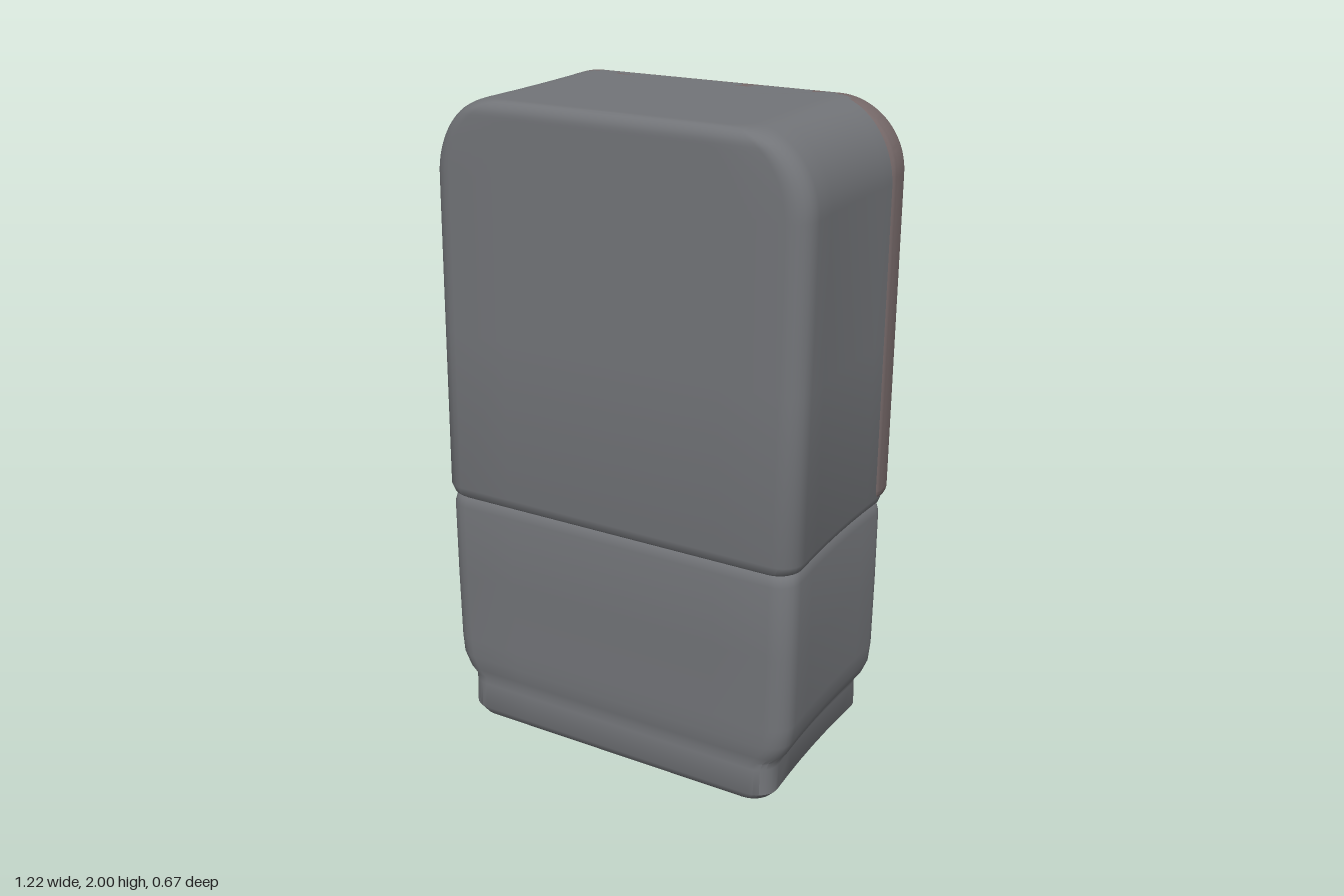
import * as THREE from 'three';
import { toCreasedNormals } from 'three/addons/utils/BufferGeometryUtils.js';
import { RoundedBoxGeometry } from 'three/addons/geometries/RoundedBoxGeometry.js';

const GREY = 0x727478, RIM = 0x756868, NAVY = 0x343b4a, PALE = 0xa9acae;

function mesh(name, geometry, color) {
  const m = new THREE.Mesh(geometry, new THREE.MeshStandardMaterial({ color }));
  m.name = name;
  return m;
}

// Rounded rectangle in x/z with slightly hollow left and right sides
function section({ y, hw, zf, zb, rb }) {
  const rf = 0.07;
  const corners = [[1, zf - rf, rf], [-1, zf - rf, rf], [-1, zb + rb, rb], [1, zb + rb, rb]];
  const pts = [];
  corners.forEach(([sx, cz, r], q) => {
    for (let i = 0; i <= 6; i++) {
      const a = (q + i / 6) * Math.PI / 2;
      pts.push([sx * (hw - r) + r * Math.cos(a), cz + r * Math.sin(a)]);
    }
  });
  const out = [];
  pts.forEach((p, i) => {
    const n = pts[(i + 1) % pts.length];
    const steps = i % 7 === 6 ? 6 : 1;
    for (let k = 0; k < steps; k++) {
      const x = p[0] + (n[0] - p[0]) * k / steps;
      const z = p[1] + (n[1] - p[1]) * k / steps;
      const waist = 1 - 0.02 * Math.max(0, 1 - (z / 0.3) ** 2);
      out.push([x * waist, y, z]);
    }
  });
  return out;
}

// Closed skin through sections listed from bottom to top
function loft(sections) {
  const rings = sections.map(section), n = rings[0].length;
  const pos = rings.flat(2), idx = [];
  for (let k = 0; k < rings.length - 1; k++) {
    for (let i = 0; i < n; i++) {
      const a = k * n + i, b = k * n + (i + 1) % n;
      idx.push(a, a + n, b, b, a + n, b + n);
    }
  }
  const last = (rings.length - 1) * n, c = rings.length * n;
  pos.push(0, sections[0].y, 0, 0, sections.at(-1).y, 0);
  for (let i = 0; i < n; i++) {
    const j = (i + 1) % n;
    idx.push(c, i, j, c + 1, last + j, last + i);
  }
  const g = new THREE.BufferGeometry();
  g.setAttribute('position', new THREE.Float32BufferAttribute(pos, 3));
  g.setIndex(idx);
  return toCreasedNormals(g, 0.7);
}

// Upright outline with large top corners and small bottom corners
function outline(path, hw, y0, y1, rt, rb) {
  path.moveTo(-hw + rb, y0);
  path.lineTo(hw - rb, y0);
  path.absarc(hw - rb, y0 + rb, rb, -Math.PI / 2, 0);
  path.lineTo(hw, y1 - rt);
  path.absarc(hw - rt, y1 - rt, rt, 0, Math.PI / 2);
  path.lineTo(-hw + rt, y1);
  path.absarc(-hw + rt, y1 - rt, rt, Math.PI / 2, Math.PI);
  path.lineTo(-hw, y0 + rb);
  path.absarc(-hw + rb, y0 + rb, rb, Math.PI, Math.PI * 1.5);
  return path;
}

function plate(name, x, y, w, h, z0, z1, color) {
  const d = z1 - z0;
  const m = mesh(name, new RoundedBoxGeometry(w, h, d, 3, Math.min(0.015, d / 2.1)), color);
  m.position.set(x, y, (z0 + z1) / 2);
  return m;
}

function disc(name, x, y, z, r, d, color) {
  const m = mesh(name, new THREE.CylinderGeometry(r * 0.85, r, d, 20), color);
  m.rotation.x = Math.PI / 2;
  m.position.set(x, y, z);
  return m;
}

export function createModel() {
  const group = new THREE.Group();

  // Plinth and lower cabinet
  const low = (y, hw, z) => ({ y, hw, zf: z, zb: -z, rb: 0.07 });
  group.add(mesh('lowerCabinet', loft([
    low(0, 0.48, 0.29), low(0, 0.495, 0.305), low(0.01, 0.525, 0.323), low(0.035, 0.545, 0.335),
    low(0.12, 0.545, 0.331), low(0.14, 0.55, 0.327), low(0.165, 0.57, 0.332),
    low(0.21, 0.588, 0.336), low(0.27, 0.595, 0.334), low(0.5, 0.597, 0.334),
    low(0.735, 0.597, 0.333), low(0.76, 0.592, 0.328), low(0.77, 0.585, 0.32),
  ]), GREY));

  // Upper cabinet, leaning back a little at the front
  const front = y => 0.336 - 0.026 * (y - 0.77) / 1.23;
  const up = (y, hw, inset = 0) => ({ y, hw, zf: front(y) - inset, zb: -0.295, rb: 0.03 });
  const upper = [up(0.765, 0.585, 0.016), up(0.775, 0.597, 0.006), up(0.8, 0.606), up(1.3, 0.606)];
  for (let i = 0; i <= 20; i++) {
    const t = i / 20 * Math.PI / 2;
    const y = 1.77 + 0.23 * Math.sin(t);
    const s = Math.max(0, (y - 1.96) / 0.04);
    const inset = 0.035 * (1 - Math.sqrt(Math.max(0, 1 - s * s)));
    upper.push(up(y, 0.406 + 0.2 * Math.cos(t), inset));
  }
  upper.push(up(2, 0.39, 0.05));
  group.add(mesh('upperCabinet', loft(upper), GREY));

  // Display on the rear face, built facing +z and then turned round
  const display = new THREE.Group();
  display.name = 'rearDisplay';
  display.rotation.y = Math.PI;
  display.position.z = 0.012;
  group.add(display);

  // Soft rim that continues the cabinet walls around the display
  const rimShape = outline(new THREE.Shape(), 0.579, 0.798, 1.97, 0.18, 0.03);
  rimShape.holes.push(outline(new THREE.Path(), 0.572, 0.805, 1.963, 0.173, 0.025));
  const rim = mesh('displayRim', toCreasedNormals(new THREE.ExtrudeGeometry(rimShape, {
    depth: 0.04, bevelSize: 0.03, bevelThickness: 0.03, bevelSegments: 6, curveSegments: 16,
  }), 0.7), RIM);
  rim.position.z = 0.267;
  display.add(rim);

  const back = mesh('displayBacking', new THREE.ExtrudeGeometry(
    outline(new THREE.Shape(), 0.57, 0.8, 1.96, 0.17, 0.03),
    { depth: 0.03, bevelEnabled: false, curveSegments: 16 }), NAVY);
  back.position.z = 0.285;
  display.add(back);

  // Header strip, knob and bottom ledge
  display.add(plate('headerStrip', -0.06, 1.845, 0.64, 0.06, 0.3, 0.324, 0x5d616e));
  display.add(disc('headerKnob', 0.41, 1.845, 0.321, 0.05, 0.022, 0x5a4a3c));
  display.add(disc('knobCentre', 0.41, 1.845, 0.331, 0.025, 0.01, 0x9a7b58));
  display.add(plate('bottomLedge', 0, 0.875, 1.1, 0.15, 0.29, 0.333, 0x3a4548));

  // Pale board with a strip of round buttons
  display.add(plate('board', 0, 1.35, 1.05, 0.78, 0.29, 0.322, PALE));
  display.add(plate('buttonStrip', 0, 1.66, 1.0, 0.13, 0.3, 0.328, 0x7f8f99));
  for (const x of [-0.4, -0.295, -0.185, -0.08, 0.03, 0.25, 0.37])
    display.add(disc('stripButton', x, 1.66, 0.33, 0.026, 0.012, 0x4f6672));

  // Four cards, each a raised tile with a small relief
  const cards = [
    [-0.33, 1.445, 0xa96a5c, 0xb57a6a], [0.0, 1.43, 0x8f9292, 0xb4b5b0],
    [-0.33, 1.14, 0x8b9499, 0x5f7d8a], [0.01, 1.15, 0x959492, 0xb3a896],
  ];
  cards.forEach(([x, y, color, accent], i) => {
    display.add(plate('card', x, y, 0.28, 0.23, 0.3, 0.33, color));
    if (i === 0) display.add(plate('cardFace', x, y + 0.01, 0.22, 0.16, 0.31, 0.335, accent));
    else if (i === 3) display.add(plate('cardFace', x + 0.02, y, 0.17, 0.17, 0.31, 0.336, accent));
    else for (const dx of [-0.045, 0.045])
      display.add(plate('cardBar', x + 0.02 + dx, y, 0.06, 0.17, 0.31, 0.336, dx < 0 ? accent : 0xc2bba9));
  });

  // Blue side column
  display.add(plate('sideColumn', 0.35, 1.28, 0.25, 0.56, 0.3, 0.328, 0x2c4354));
  display.add(plate('sideScreen', 0.35, 1.42, 0.2, 0.22, 0.31, 0.334, 0x2f6478));
  display.add(disc('sideLight', 0.35, 1.43, 0.334, 0.025, 0.01, 0xa08a78));
  [0x3a7c93, 0x2b4560, 0x27394f].forEach((color, i) =>
    display.add(plate('sideRow', 0.35, 1.23 - i * 0.085, 0.2, 0.06, 0.31, 0.334, color)));

  return group;
}
